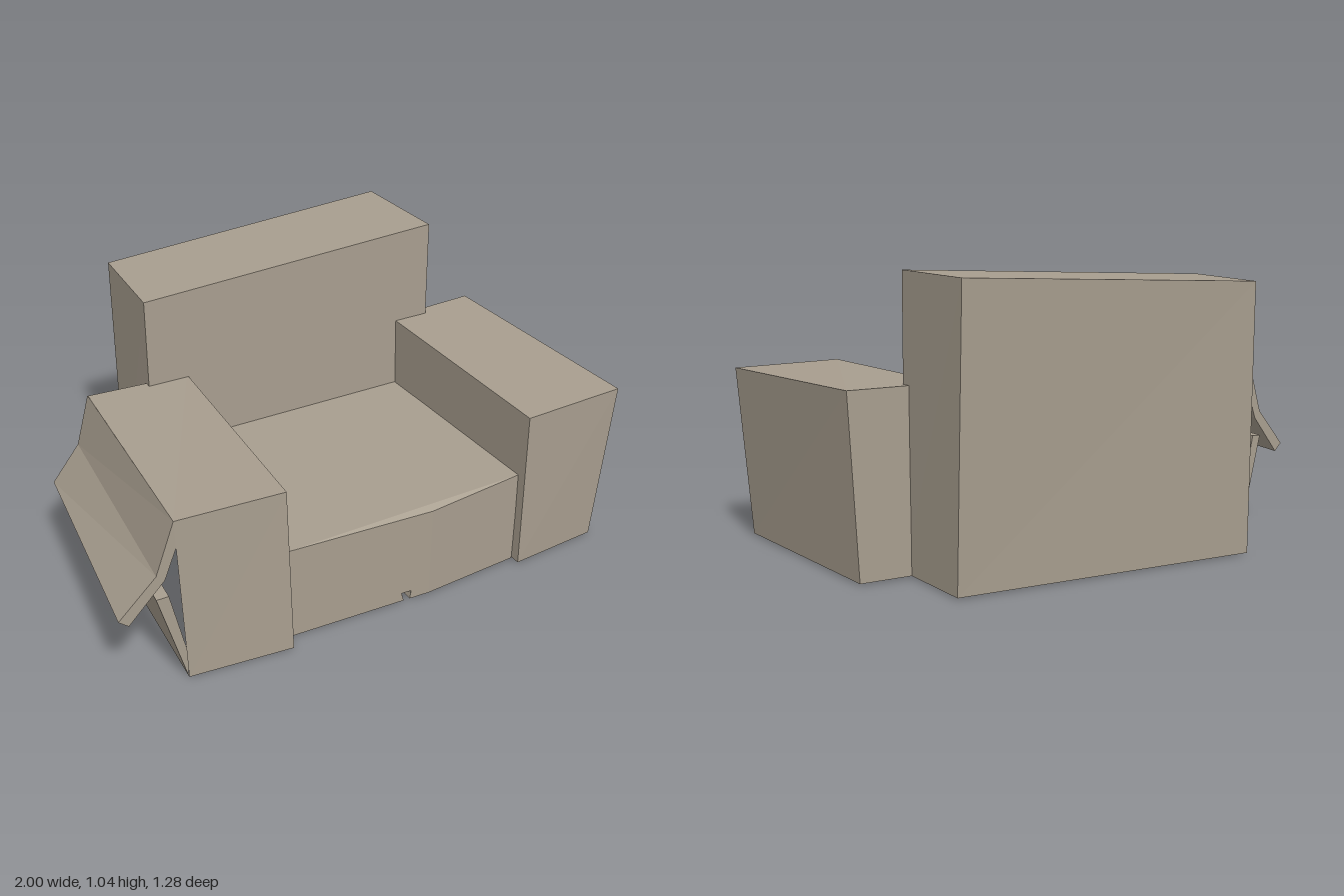
import * as THREE from 'three';

const fabric = new THREE.MeshStandardMaterial({
  color: 0xa89e8f, flatShading: true, side: THREE.DoubleSide,
});

function addMesh(parent, name, geometry) {
  const mesh = new THREE.Mesh(geometry, fabric);
  mesh.name = name;
  parent.add(mesh);
}

// Flat faces from lists of corners, counter-clockwise from outside.
function facesGeometry(faces) {
  const pos = [];
  for (const f of faces)
    for (let i = 1; i < f.length - 1; i++) pos.push(...f[0], ...f[i], ...f[i + 1]);
  const g = new THREE.BufferGeometry();
  g.setAttribute('position', new THREE.Float32BufferAttribute(pos, 3));
  g.computeVertexNormals();
  return g;
}

// Bottomless shell between two rings of corners, each running from the front
// corner at -x, along the front, and round the back. Listed walls stay open.
function shell(bottom, top, openWalls = []) {
  const faces = [top];
  bottom.forEach((b, i) => {
    const j = (i + 1) % bottom.length;
    if (!openWalls.includes(i)) faces.push([b, bottom[j], top[j], top[i]]);
  });
  return facesGeometry(faces);
}

// Prism between matching front and back outlines, both ends closed.
function prism(front, back) {
  const faces = [];
  front.forEach((p, i) => {
    const j = (i + 1) % front.length;
    faces.push([p, back[i], back[j], front[j]]);
  });
  for (let i = 0; i < front.length / 2 - 1; i++) {
    const k = front.length - 1 - i;
    faces.push([front[i], front[i + 1], front[k - 1], front[k]]);
    faces.push([back[k], back[k - 1], back[i + 1], back[i]]);
  }
  return facesGeometry(faces);
}

export function createModel() {
  const chair = new THREE.Group();
  chair.name = 'wornArmchair';

  // Slanted backrest
  addMesh(chair, 'backrest', shell(
    [[-0.52, 0, -0.23], [0.68, 0, -0.23], [0.66, 0, -0.6], [-0.51, 0, -0.59]],
    [[-0.52, 0.99, -0.235], [0.68, 1.04, -0.24], [0.655, 1.035, -0.64], [-0.505, 0.985, -0.615]],
  ));

  // Intact arm
  addMesh(chair, 'leftArm', shell(
    [[0.595, 0, 0.605], [0.95, 0, 0.575], [0.87, 0, -0.29], [0.55, 0, -0.275]],
    [[0.585, 0.645, 0.61], [1.0, 0.64, 0.585], [0.905, 0.655, -0.29], [0.54, 0.655, -0.27]],
  ));

  // Torn arm: the outer wall is missing
  const tornArm = new THREE.Group();
  tornArm.name = 'rightArm';
  chair.add(tornArm);
  addMesh(tornArm, 'rightArmShell', shell(
    [[-0.765, 0, 0.605], [-0.38, 0, 0.64], [-0.365, 0, -0.25], [-0.73, 0, -0.275]],
    [[-0.79, 0.655, 0.6], [-0.4, 0.66, 0.63], [-0.36, 0.645, -0.25], [-0.745, 0.65, -0.27]],
    [3],
  ));

  // Halves of the torn wall bent outward, narrowing slightly to the back
  const atFront = ([x, y]) => [x, y, 0.6];
  const atBack = ([x, y]) => [x + 0.045 + Math.max(0, -0.79 - x) * 0.24, y - 0.005, -0.275];
  const flap = (name, outline) =>
    addMesh(tornArm, name, prism(outline.map(atFront), outline.map(atBack)));
  flap('upperFlap', [
    [-0.79, 0.655], [-0.86, 0.46], [-1.0, 0.325],
    [-0.965, 0.295], [-0.83, 0.435], [-0.785, 0.55],
  ]);
  flap('lowerFlap', [[-0.865, 0.365], [-0.765, 0.0], [-0.764, 0.11], [-0.82, 0.365]]);

  // Seat with a gently bowed front
  const seat = new THREE.Group();
  seat.name = 'seat';
  chair.add(seat);
  addMesh(seat, 'seatShell', shell(
    [[-0.385, 0, 0.58], [0.2, 0, 0.6], [0.59, 0, 0.57], [0.55, 0, -0.235], [-0.365, 0, -0.235]],
    [[-0.385, 0.375, 0.58], [0.2, 0.365, 0.6], [0.59, 0.38, 0.57], [0.545, 0.375, -0.235], [-0.36, 0.375, -0.235]],
    [0, 1],
  ));

  // Front panel with a small tear at its lower edge
  const frontZ = (x) => (x < 0.2 ? 0.58 + (x + 0.385) * 0.034 : 0.6 - (x - 0.2) * 0.077);
  const panels = [
    [[-0.385, 0], [0.095, 0], [0.085, 0.035], [0.125, 0.035], [0.12, 0], [0.2, 0], [0.2, 0.365], [-0.385, 0.375]],
    [[0.2, 0], [0.59, 0], [0.59, 0.38], [0.2, 0.365]],
  ];
  for (const outline of panels) {
    const g = new THREE.ShapeGeometry(new THREE.Shape(outline.map((p) => new THREE.Vector2(...p))));
    const p = g.attributes.position;
    for (let i = 0; i < p.count; i++) p.setZ(i, frontZ(p.getX(i)));
    g.computeVertexNormals();
    addMesh(seat, 'seatFront', g);
  }

  // Fabric folded inward behind the tear
  const tip = [0.11, 0.015, 0.46];
  addMesh(seat, 'tearFold', facesGeometry([
    [[0.095, 0, 0.597], [0.085, 0.035, 0.596], tip],
    [[0.085, 0.035, 0.596], [0.125, 0.035, 0.597], tip],
    [[0.125, 0.035, 0.597], [0.12, 0, 0.597], tip],
  ]));

  return chair;
}
